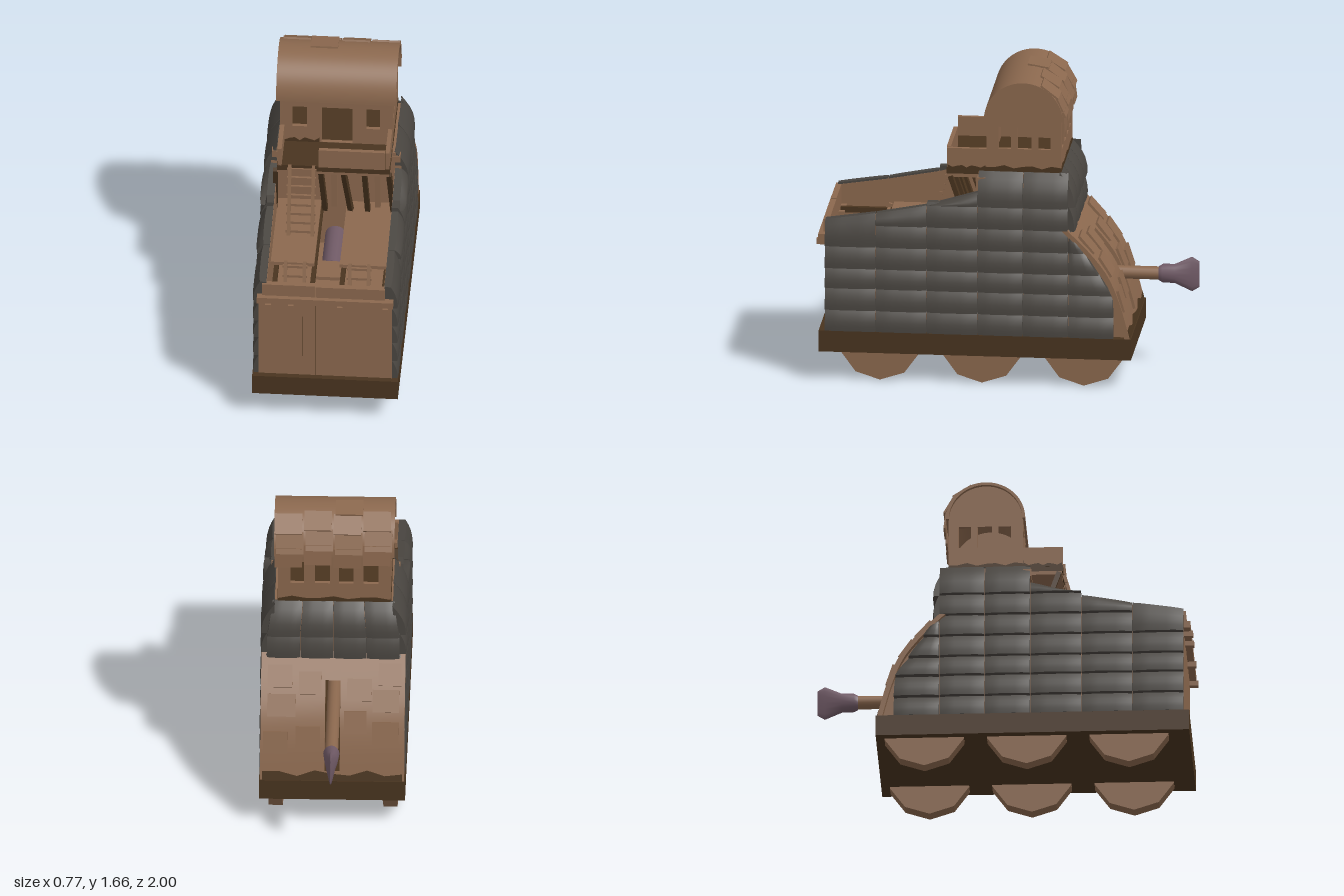
import * as THREE from 'three';
import { toCreasedNormals } from 'three/addons/utils/BufferGeometryUtils.js';

const mat = (name, color) => Object.assign(new THREE.MeshStandardMaterial({ color }), { name });
const lerp = THREE.MathUtils.lerp;
const V = (x, y, z) => new THREE.Vector3(x, y, z);

export function createModel() {
  const model = new THREE.Group();
  const wood = mat('wood', 0x8b684e), dark = mat('darkWood', 0x49341f);
  const hide = mat('greyHide', 0x4a4641), metal = mat('purpleMetal', 0x705a66);

  const group = (name) => { const g = new THREE.Group(); g.name = name; model.add(g); return g; };
  const add = (name, geo, m, parent = model) => {
    const mesh = new THREE.Mesh(geo, m);
    mesh.name = name;
    parent.add(mesh);
    return mesh;
  };
  // Box given by its limits
  const box = (name, m, x0, x1, y0, y1, z0, z1, parent) => {
    const b = add(name, new THREE.BoxGeometry(x1 - x0, y1 - y0, z1 - z0), m, parent);
    b.position.set((x0 + x1) / 2, (y0 + y1) / 2, (z0 + z1) / 2);
    return b;
  };
  // Square bar between two points
  const beam = (name, m, a, b, w, parent) => {
    const bar = add(name, new THREE.BoxGeometry(w, w, a.distanceTo(b)), m, parent);
    bar.position.copy(a).lerp(b, 0.5);
    bar.lookAt(b);
    return bar;
  };
  const ladder = (name, top, bottom, width, rungs) => {
    const g = group(name);
    for (const s of [-1, 1]) {
      const o = V(s * width / 2, 0, 0);
      beam('rail', wood, top.clone().add(o), bottom.clone().add(o), 0.018, g);
    }
    for (let i = 0; i < rungs; i++) {
      const p = top.clone().lerp(bottom, (i + 0.5) / rungs);
      beam('rung', wood, p.clone().add(V(-width / 2 - 0.015, 0, 0)), p.clone().add(V(width / 2 + 0.015, 0, 0)), 0.014, g);
    }
  };
  const polygon = (pts) => new THREE.Shape(pts.map(([a, b]) => new THREE.Vector2(a, b)));
  const rect = (a0, a1, b0, b1) => polygon([[a0, b0], [a1, b0], [a1, b1], [a0, b1]]);
  // Extrude a (-z, y) outline along x
  const extrudeX = (shape, x0, x1) => {
    const g = new THREE.ExtrudeGeometry(shape, { depth: x1 - x0, bevelEnabled: false, curveSegments: 20 });
    return toCreasedNormals(g.rotateY(Math.PI / 2).translate(x0, 0, 0), 0.6);
  };

  // Chassis and ten-sided wheels
  box('chassis', dark, -0.385, 0.385, 0.16, 0.275, -0.675, 0.98);
  for (const x of [-0.305, 0.3]) for (const z of [0.66, 0.12, -0.42]) {
    const g = new THREE.CylinderGeometry(0.22, 0.22, 0.075, 10).rotateZ(Math.PI / 2).rotateX(Math.PI / 2);
    const pos = g.attributes.position;
    // keep the wheel inside the chassis, with a corner at the bottom
    let low = 0;
    for (let i = 0; i < pos.count; i++) low = Math.min(low, pos.getY(i));
    if (low > -0.2199) g.rotateX(Math.PI / 10);
    add('wheel', toCreasedNormals(g, 0.3), wood).position.set(x, 0.22, z);
  }

  // Rear curved shell, with a slot for the cannon
  const slope = new THREE.CatmullRomCurve3([[0.87, -0.33], [0.75, -0.45], [0.62, -0.55], [0.48, -0.61],
    [0.35, -0.648], [0.27, -0.668]].map(([y, z]) => V(0, y, z)));
  const slopePts = slope.getPoints(16);
  const band = (pts) => polygon([...pts.map((p) => [-p.z, p.y]),
    ...pts.slice().reverse().map((p) => [-p.z - 0.025, p.y - 0.008])]);
  const shell = group('rearShell');
  for (const [a, b] of [[-0.38, -0.04], [0.04, 0.38]]) add('shellHalf', extrudeX(band(slopePts), a, b), wood, shell);
  add('shellTop', extrudeX(band(slopePts.filter((p) => p.y > 0.73)), -0.04, 0.04), wood, shell);
  add('shellFoot', extrudeX(band(slopePts.filter((p) => p.y < 0.34)), -0.04, 0.04), wood, shell);
  const shellPlate = (t, x, w, len) => {
    const p = slope.getPointAt(t), d = slope.getTangentAt(t), angle = Math.atan2(-d.y, -d.z);
    const m = add('shellPlate', new THREE.BoxGeometry(w, 0.014, len), wood, shell);
    m.position.set(x, p.y + 0.006 * Math.cos(angle), p.z - 0.006 * Math.sin(angle));
    m.rotation.x = -angle - 0.05;
  };
  [[0.2, 0.28, 0.13], [0.25, 0.12, 0.12], [0.38, -0.28, 0.14], [0.3, -0.14, 0.13], [0.42, 0.27, 0.15],
    [0.62, -0.28, 0.14], [0.54, -0.12, 0.12], [0.66, 0.13, 0.13], [0.7, 0.3, 0.13], [0.18, -0.3, 0.12]]
    .forEach(([t, x, w]) => shellPlate(t, x, w, 0.12));

  // Inner side walls, following the sloping top edge
  const sideOutline = [[-0.945, 0.27], ...slopePts.slice().reverse().map((p) => [-p.z - 0.012, p.y]),
    [0.33, 1.1], [-0.135, 1.1], [-0.14, 1.04], [-0.41, 0.96], [-0.68, 0.91], [-0.945, 0.87]];
  for (const x of [-0.345, 0.31]) add('sideWall', extrudeX(polygon(sideOutline), x, x + 0.035), wood);

  // Hide tile: a bulging slab over four corners [along, up]; leans out at its foot
  const tile = (parent, [bl, br, tr, tl], foot, head, inner) => {
    const g = new THREE.BoxGeometry(1, 1, 1, 6, 5, 1), p = g.attributes.position;
    for (let i = 0; i < p.count; i++) {
      const u = p.getX(i) + 0.5, v = p.getY(i) + 0.5, outer = p.getZ(i) > 0;
      const at = (k) => lerp(lerp(bl[k], br[k], u), lerp(tl[k], tr[k], u), v);
      const out = lerp(foot, head, v * v) - 0.006 * Math.pow(Math.abs(2 * u - 1), 4) + 0.004 * Math.sin(Math.PI * v);
      p.setXYZ(i, at(0), at(1), outer ? out : inner);
    }
    g.computeVertexNormals();
    add('hideTile', g, hide, parent);
  };
  const rows = [0.275, 0.39, 0.51, 0.62, 0.74, 0.86, 0.98];
  const cols = [0.95, 0.68, 0.41, 0.14, -0.1, -0.34];
  const tops = [0.88, 0.92, 0.97, 1.05];
  const rearEdge = (y) => y < 0.5 ? -0.58 : lerp(-0.58, -0.345, Math.min(1, (y - 0.5) / 0.36));
  for (const s of [1, -1]) {
    const side = group(s > 0 ? 'leftHide' : 'rightHide');
    side.rotation.y = s * Math.PI / 2;
    // corners arrive as front-low, rear-low, rear-high, front-high in (z, y)
    const put = (c, head) => {
      const q = c.map(([z, y]) => [-s * z, y]);
      tile(side, s > 0 ? q : [q[1], q[0], q[3], q[2]], 0.386, head, 0.312);
    };
    for (let c = 0; c < 5; c++) {
      const z0 = cols[c] - 0.002, z1 = cols[c + 1] + 0.002;
      const tA = c < 3 ? tops[c] : 1.16, tB = c < 3 ? tops[c + 1] : 1.16;
      for (let r = 0; r < rows.length; r++) {
        if (tB - rows[r] < 0.065) break;
        const last = r === rows.length - 1 || tB - rows[r + 1] < 0.065;
        const a = last ? tA : rows[r + 1] + 0.01, b = last ? tB : rows[r + 1] + 0.01;
        put([[z0, rows[r]], [z1, rows[r]], [z1, b], [z0, a]], last && c > 2 ? 0.315 : 0.352);
      }
    }
    for (let r = 0; r < 5; r++) {
      const y0 = rows[r], y1 = rows[r + 1];
      put([[-0.342, y0], [rearEdge(y0), y0], [rearEdge(y1), y1], [-0.342, y1]], 0.352);
    }
  }
  // Rear hide on the tower
  const rear = group('rearHide');
  rear.rotation.y = Math.PI;
  for (let c = 0; c < 4; c++) for (const [y0, y1, head] of [[0.85, 0.99, 0.345], [0.98, 1.16, 0.3]]) {
    const a = -0.35 + c * 0.175, b = a + 0.172, k = y1 > 1.1 ? 0.92 : 1;
    tile(rear, [[a, y0], [b, y0], [b * k, y1], [a * k, y1]], 0.375, head, 0.29);
  }
  box('towerRearWall', wood, -0.33, 0.33, 0.8, 1.1, -0.33, -0.3);
  box('towerFrontWall', wood, -0.315, 0.315, 0.5, 1.13, 0.08, 0.1);
  box('towerTop', wood, -0.315, 0.315, 1.11, 1.15, -0.3, 0.14);
  box('towerLintel', wood, -0.34, 0.34, 1.09, 1.13, 0.1, 0.145);

  // Front wall, rail, parapet and beam ends
  box('frontWall', wood, -0.352, 0.352, 0.275, 0.8, 0.93, 0.95);
  box('frontRail', wood, -0.36, 0.36, 0.762, 0.8, 0.94, 0.985);
  box('parapetLeft', wood, -0.05, 0.315, 0.8, 0.868, 0.93, 0.962);
  box('parapetRight', wood, -0.335, -0.055, 0.8, 0.872, 0.93, 0.96);
  for (const [x, y0, y1] of [[-0.12, 0.4, 0.66], [-0.05, 0.275, 0.76]])
    box('plankSeam', dark, x - 0.0015, x + 0.0015, y0, y1, 0.948, 0.951);
  for (const x of [-0.3, -0.18, 0.08, 0.32])
    box('beamEnd', wood, x - 0.015, x + 0.015, 0.735, 0.765, 0.9, 0.997);

  // Fighting deck, hold floor and floor beams
  box('deckRight', wood, -0.312, -0.08, 0.765, 0.785, 0.1, 0.65);
  box('deckLeft', wood, 0.055, 0.312, 0.765, 0.785, 0.1, 0.65);
  box('holdFloor', wood, -0.312, 0.312, 0.48, 0.5, 0.1, 0.935);
  box('gunStep', wood, -0.08, 0.055, 0.6, 0.62, 0.41, 0.55);
  for (const x of [-0.28, -0.08, 0.075, 0.3]) box('floorBeam', dark, x - 0.012, x + 0.012, 0.73, 0.76, 0.1, 0.94);
  ladder('holdLadderRight', V(-0.18, 0.8, 0.66), V(-0.18, 0.5, 0.76), 0.1, 6);
  ladder('holdLadderLeft', V(0.16, 0.8, 0.66), V(0.16, 0.5, 0.76), 0.1, 6);

  // Balcony with its struts and ladder
  box('cabinFloor', dark, -0.3, 0.295, 1.135, 1.17, -0.295, 0.31);
  box('balconyJoist', wood, -0.3, 0.29, 1.115, 1.135, 0.14, 0.305);
  box('balconyFront', wood, -0.08, 0.27, 1.165, 1.278, 0.29, 0.312);
  for (const x of [-0.298, 0.272]) box('balconySide', wood, x, x + 0.022, 1.165, 1.275, 0.1, 0.31);
  for (const [x, lean] of [[-0.31, -0.01], [-0.07, 0.015], [0.05, 0.03], [0.16, 0.01], [0.29, 0.015]])
    beam('strut', dark, V(x, 1.12, 0.29), V(x + lean, 0.78, 0.17), 0.026);
  for (const x of [-0.01, 0.22]) beam('post', wood, V(x, 1.12, 0.15), V(x, 0.78, 0.13), 0.03);
  ladder('balconyLadder', V(-0.17, 1.17, 0.305), V(-0.17, 0.785, 0.415), 0.125, 8);

  // Cabin walls with window openings
  const cabin = group('cabin');
  const gable = new THREE.Shape();
  gable.moveTo(-0.1, 1.16).lineTo(0.295, 1.16).lineTo(0.295, 1.44);
  gable.absarc(0.0975, 1.44, 0.1975, 0, Math.PI, false);
  gable.lineTo(-0.1, 1.16);
  for (const [z0, z1] of [[0.035, -0.03], [-0.065, -0.14], [-0.175, -0.24]]) gable.holes.push(rect(-z0, -z1, 1.28, 1.4));
  for (const x of [-0.3, 0.275]) add('gableWall', extrudeX(gable, x, x + 0.02), wood, cabin);
  const wall = (name, z, holes) => {
    const s = rect(-0.3, 0.295, 1.16, 1.46);
    holes.forEach(([a, b, y]) => s.holes.push(rect(a, b, y, 1.4)));
    add(name, new THREE.ExtrudeGeometry(s, { depth: 0.02, bevelEnabled: false }), wood, cabin).position.z = z;
  };
  wall('cabinFront', 0.08, [[-0.235, -0.157, 1.27], [-0.08, 0.083, 1.172], [0.157, 0.23, 1.27]]);
  wall('cabinBack', -0.295, [[-0.235, -0.157, 1.27], [-0.105, -0.026, 1.27], [0.02, 0.1, 1.27], [0.157, 0.23, 1.27]]);

  // Barrel roof with shingles on the rear half
  const vault = new THREE.Shape();
  vault.absarc(0.0975, 1.44, 0.209, 0, Math.PI, false);
  vault.absarc(0.0975, 1.44, 0.194, Math.PI, 0, true);
  add('roof', extrudeX(vault, -0.32, 0.315), wood, cabin);
  [8, 36, 64, 86].forEach((deg, r) => {
    for (let i = 0; i < 4; i++) {
      if (r === 0 && i !== 1) continue;
      const a = THREE.MathUtils.degToRad(deg + (i % 2) * 5);
      const m = add('roofShingle', new THREE.BoxGeometry(0.145, 0.01, 0.115), wood, cabin);
      m.position.set(-0.235 + i * 0.156 + (r % 2) * 0.008, 1.44 + 0.212 * Math.cos(a), -0.0975 - 0.212 * Math.sin(a));
      m.rotation.x = -a + 0.06;
    }
  });

  // Ragged dark stains along the lower edges
  const stain = (w, h, x, y, z, turn, tilt = 0) => {
    const pts = [[-w / 2, 0], [w / 2, 0]];
    for (let i = 8; i >= 0; i--) pts.push([-w / 2 + w * i / 8, h * (0.7 + 0.3 * Math.sin(i * 2.3 + w * 9))]);
    const g = new THREE.ExtrudeGeometry(polygon(pts), { depth: 0.004, bevelEnabled: false });
    const m = add('stain', g, dark);
    m.position.set(x, y, z);
    m.rotation.set(tilt, turn, 0);
  };
  stain(0.4, 0.03, 0.294, 1.16, -0.095, Math.PI / 2);
  stain(0.4, 0.03, -0.299, 1.16, -0.095, -Math.PI / 2);
  stain(0.59, 0.03, 0, 1.16, -0.294, Math.PI);
  stain(0.21, 0.04, -0.195, 1.16, 0.099, 0);
  stain(0.2, 0.025, 0.293, 1.16, 0.205, Math.PI / 2);
  stain(0.2, 0.025, -0.297, 1.16, 0.205, -Math.PI / 2);
  stain(0.74, 0.06, 0, 0.272, -0.667, Math.PI, 0.24);

  // Cannon: barrel, breech and a flattened flaring muzzle
  const barrel = new THREE.CylinderGeometry(0.035, 0.035, 0.9, 16).rotateX(Math.PI / 2);
  add('cannonBarrel', barrel, wood).position.set(0, 0.53, -0.36);
  const breech = new THREE.CylinderGeometry(0.055, 0.055, 0.32, 16).rotateX(Math.PI / 2);
  add('cannonBreech', breech, metal).position.set(-0.005, 0.56, 0.24);
  const stations = [[-0.785, 0.036, 0.038], [-0.805, 0.043, 0.05], [-0.87, 0.036, 0.053], [-0.96, 0.014, 0.095], [-1, 0.002, 0.07]];
  const muzzle = new THREE.CylinderGeometry(1, 1, 1, 16, 4), mp = muzzle.attributes.position;
  for (let i = 0; i < mp.count; i++) {
    const [z, rx, ry] = stations[Math.round((0.5 - mp.getY(i)) * 4)];
    mp.setXYZ(i, mp.getX(i) * rx, 0.53 - mp.getZ(i) * ry, z);
  }
  muzzle.computeVertexNormals();
  add('cannonMuzzle', muzzle, metal);
  return model;
}
